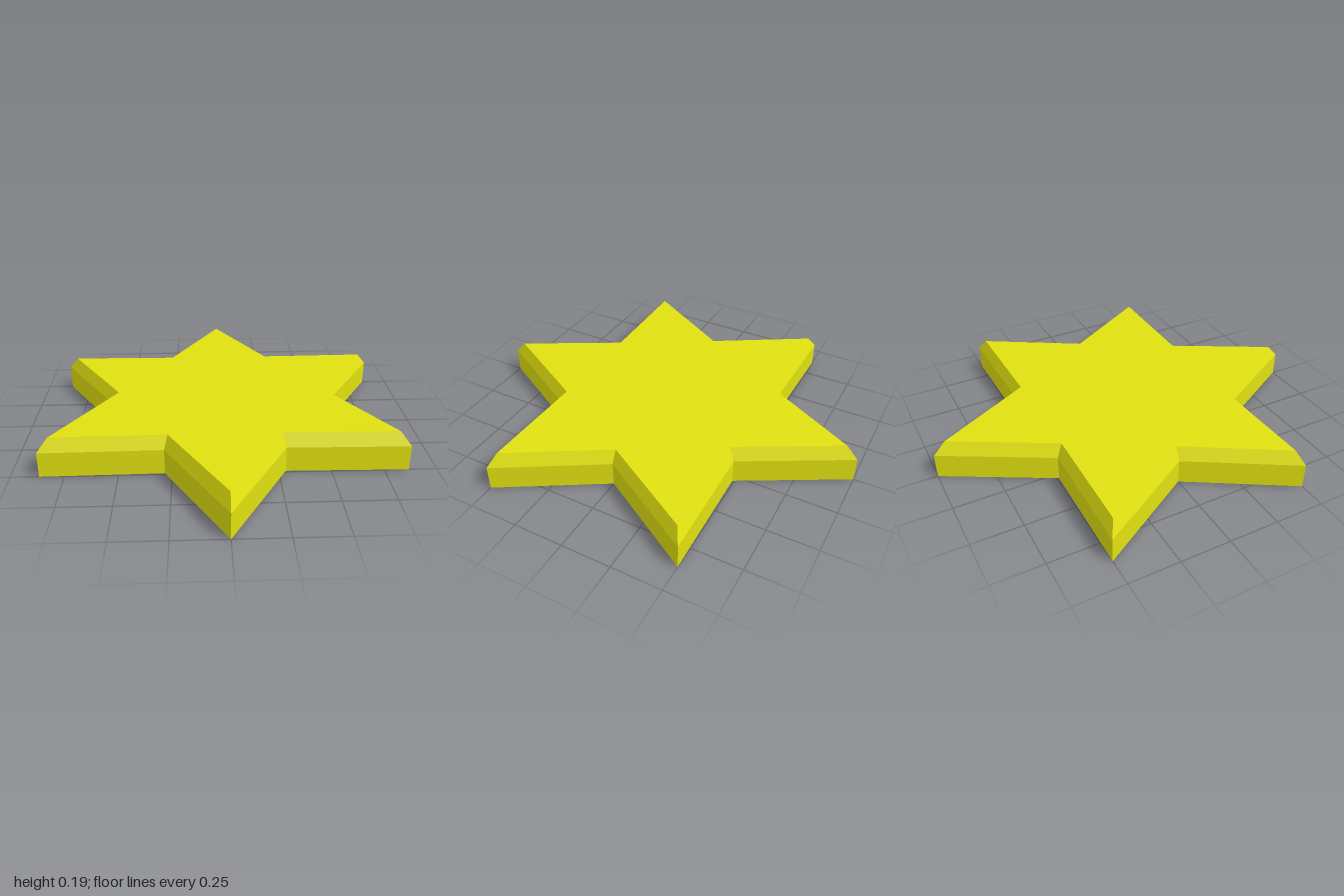
import * as THREE from 'three';

const POINTS = 6;
const TIP = 1, VALLEY = 0.567;

// Ring of star corners at a given height, counter-clockwise seen from above
function starRing(scale, y) {
  return Array.from({ length: POINTS * 2 }, (_, i) => {
    const a = (i * Math.PI) / POINTS;
    const r = (i % 2 ? VALLEY : TIP) * scale;
    return new THREE.Vector3(r * Math.sin(a), y, r * Math.cos(a));
  });
}

function starGeometry() {
  // Straight wall, then a bevel up to the smaller top face
  const rings = [starRing(1, 0), starRing(1, 0.125), starRing(0.94, 0.19)];
  const bottom = rings[0], top = rings[rings.length - 1];
  const bottomCentre = new THREE.Vector3(0, 0, 0);
  const topCentre = new THREE.Vector3(0, 0.19, 0);
  const corners = [];
  const n = POINTS * 2;
  for (let i = 0; i < n; i++) {
    const j = (i + 1) % n;
    for (let k = 0; k < rings.length - 1; k++) {
      const lo = rings[k], hi = rings[k + 1];
      corners.push(lo[i], lo[j], hi[j], lo[i], hi[j], hi[i]);
    }
    corners.push(topCentre, top[i], top[j]);
    corners.push(bottomCentre, bottom[j], bottom[i]);
  }
  const geometry = new THREE.BufferGeometry().setFromPoints(corners);
  geometry.computeVertexNormals(); // unshared corners keep every face flat
  return geometry;
}

export function createModel() {
  const yellow = new THREE.MeshStandardMaterial({ color: 0xe0e010 });
  yellow.name = 'yellow';

  const star = new THREE.Mesh(starGeometry(), yellow);
  star.name = 'bevelledStar';

  const model = new THREE.Group();
  model.name = 'sixPointedStar';
  model.add(star);
  return model;
}
